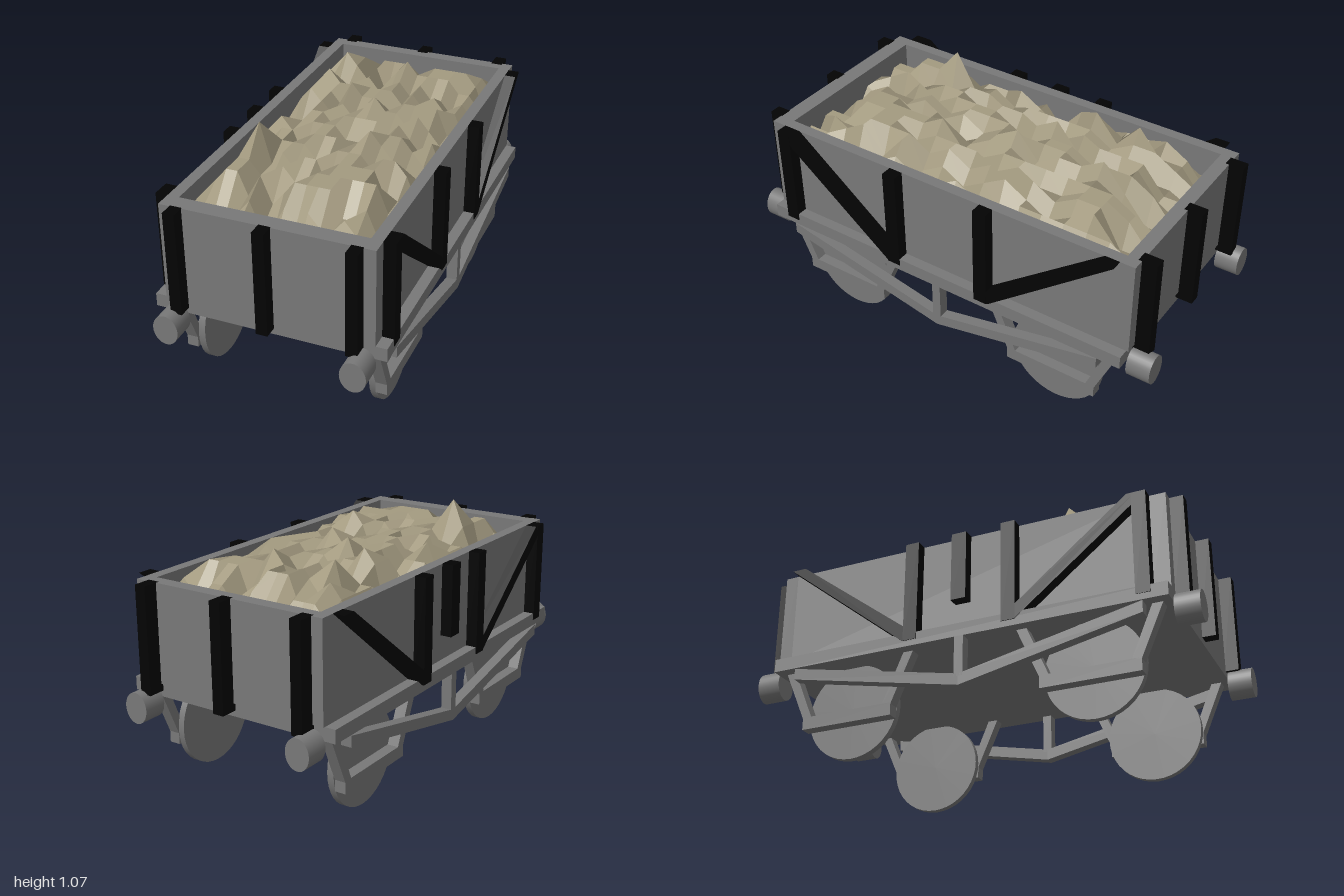
import * as THREE from 'three';

const grey = new THREE.MeshStandardMaterial({ color: 0x787878 });
grey.name = 'wagon grey';
const black = new THREE.MeshStandardMaterial({ color: 0x030303 });
black.name = 'iron black';
const stone = new THREE.MeshStandardMaterial({ color: 0xa39a80 });
stone.name = 'stone';

export function createModel() {
  const model = new THREE.Group();

  function add(name, geometry, material) {
    const mesh = new THREE.Mesh(geometry, material);
    mesh.name = name;
    model.add(mesh);
    return mesh;
  }

  // Box given by its extents on each axis
  function box(name, material, [x0, x1], [y0, y1], [z0, z1]) {
    const mesh = add(name, new THREE.BoxGeometry(x1 - x0, y1 - y0, z1 - z0), material);
    mesh.position.set((x0 + x1) / 2, (y0 + y1) / 2, (z0 + z1) / 2);
  }

  // Side plate: (z, y) outline given thickness from x0 to x1, on side s
  function plate(name, material, outline, s, x0, x1) {
    const shape = new THREE.Shape(outline.map(([z, y]) => new THREE.Vector2(z, y)));
    const geometry = new THREE.ExtrudeGeometry(shape, { depth: x1 - x0, bevelEnabled: false });
    geometry.rotateY(-Math.PI / 2);
    geometry.translate(s > 0 ? x1 : -x0, 0, 0);
    add(name, geometry, material);
  }

  // Underframe and the four walls
  box('underframe', grey, [-0.498, 0.498], [0.418, 0.477], [-0.89, 0.89]);
  box('frontWall', grey, [-0.45, 0.45], [0.477, 0.903], [0.815, 0.89]);
  box('backWall', grey, [-0.45, 0.45], [0.477, 0.903], [-0.9, -0.84]);
  for (const s of [-1, 1]) {
    const x = [s * 0.4, s * 0.45].sort((a, b) => a - b);
    box('sideWall', grey, x, [0.477, 0.903], [-0.84, 0.815]);
  }

  // Upright straps on the ends
  for (const x of [-0.375, 0, 0.375]) {
    box('frontStrap', black, [x - 0.025, x + 0.025], [0.445, 0.904], [0.885, 0.948]);
    box('backStrap', black, [x - 0.025, x + 0.025], [0.445, 0.904], [-0.965, -0.885]);
  }

  for (const s of [-1, 1]) {
    // Upright straps and diagonal braces on the sides
    const strapX = [s * 0.45, s * 0.501].sort((a, b) => a - b);
    for (const z of [0.79, 0.22, -0.228]) {
      box('sideStrap', black, strapX, [0.445, 0.904], [z - 0.031, z + 0.031]);
    }
    plate('frontBrace', black,
      [[0.78, 0.904], [0.74, 0.904], [0.21, 0.48], [0.21, 0.447], [0.25, 0.447], [0.78, 0.865]], s, 0.45, 0.5);
    plate('backBrace', black,
      [[-0.835, 0.904], [-0.77, 0.904], [-0.21, 0.475], [-0.21, 0.447], [-0.265, 0.447]], s, 0.45, 0.5);

    // Shallow truss rod with a centre post
    plate('truss', grey,
      [[0.785, 0.415], [0.785, 0.365], [0, 0.2], [-0.785, 0.365], [-0.785, 0.415], [0, 0.25]], s, 0.45, 0.498);
    plate('trussPost', grey, [[-0.02, 0.24], [0.02, 0.24], [0.02, 0.42], [-0.02, 0.42]], s, 0.45, 0.498);

    for (const e of [-1, 1]) {
      const zc = e * 0.545;

      // Wheel disc
      const wheel = add('wheel', new THREE.CylinderGeometry(0.212, 0.212, 0.03, 40), grey);
      wheel.rotation.z = Math.PI / 2;
      wheel.position.set(s * 0.383 + 0.004, 0.214, zc);

      // Axle guard: bottom bar and two splayed legs
      plate('axleGuardBar', grey,
        [[zc - 0.212, 0.145], [zc + 0.212, 0.145], [zc + 0.212, 0.2], [zc - 0.212, 0.2]], s, 0.4, 0.45);
      for (const d of [-1, 1]) {
        plate('axleGuardLeg', grey,
          [[zc + d * 0.17, 0.195], [zc + d * 0.212, 0.195], [zc + d * 0.31, 0.42], [zc + d * 0.265, 0.42]],
          s, 0.4, 0.45);
      }

      // Oval buffer
      const buffer = add('buffer', new THREE.CylinderGeometry(1, 1, 0.105, 32), grey);
      buffer.rotation.x = Math.PI / 2;
      buffer.scale.set(0.055, 1, 0.067);
      buffer.position.set(s * 0.4, 0.393, e * 0.9475);
    }
  }

  // Small block between the straps on one side only
  box('sideBlock', black, [-0.5, -0.45], [0.59, 0.904], [-0.04, 0.028]);

  // Stone load: a gridded heap with stepped random heights and one tall peak
  let seed = 11;
  const random = () => (seed = (seed * 16807) % 2147483647) / 2147483647;
  const n = 16;
  const heap = new THREE.PlaneGeometry(0.8, 1.655, n, n);
  heap.rotateX(-Math.PI / 2);
  heap.translate(0, 0, -0.0125);
  const p = heap.attributes.position;
  for (let i = 0; i < p.count; i++) {
    const col = i % (n + 1), row = Math.floor(i / (n + 1));
    const edge = Math.min(col, n - col, row, n - row);
    const mean = [-0.5, 0.4, 1.1, 1.6][Math.min(edge, 3)];
    const low = col > 11 || row < 3 || row === 11 || row > 12;
    const top = edge < 2 ? edge : low ? 2 : 3;
    const step = Math.round(mean + (random() - 0.5) * 2.4);
    p.setY(i, 0.825 + 0.06 * Math.max(-1, Math.min(step, top)));
    if (col === 3 && row === 12) p.setY(i, 1.067);
  }

  // Each grid cell of the heap is shaded as one flat facet
  const load = heap.toNonIndexed();
  load.computeVertexNormals();
  const normals = load.attributes.normal;
  const a = new THREE.Vector3(), b = new THREE.Vector3();
  for (let i = 0; i < normals.count; i += 6) {
    a.fromBufferAttribute(normals, i).add(b.fromBufferAttribute(normals, i + 3)).normalize();
    for (let k = i; k < i + 6; k++) normals.setXYZ(k, a.x, a.y, a.z);
  }
  add('stoneLoad', load, stone);

  return model;
}
